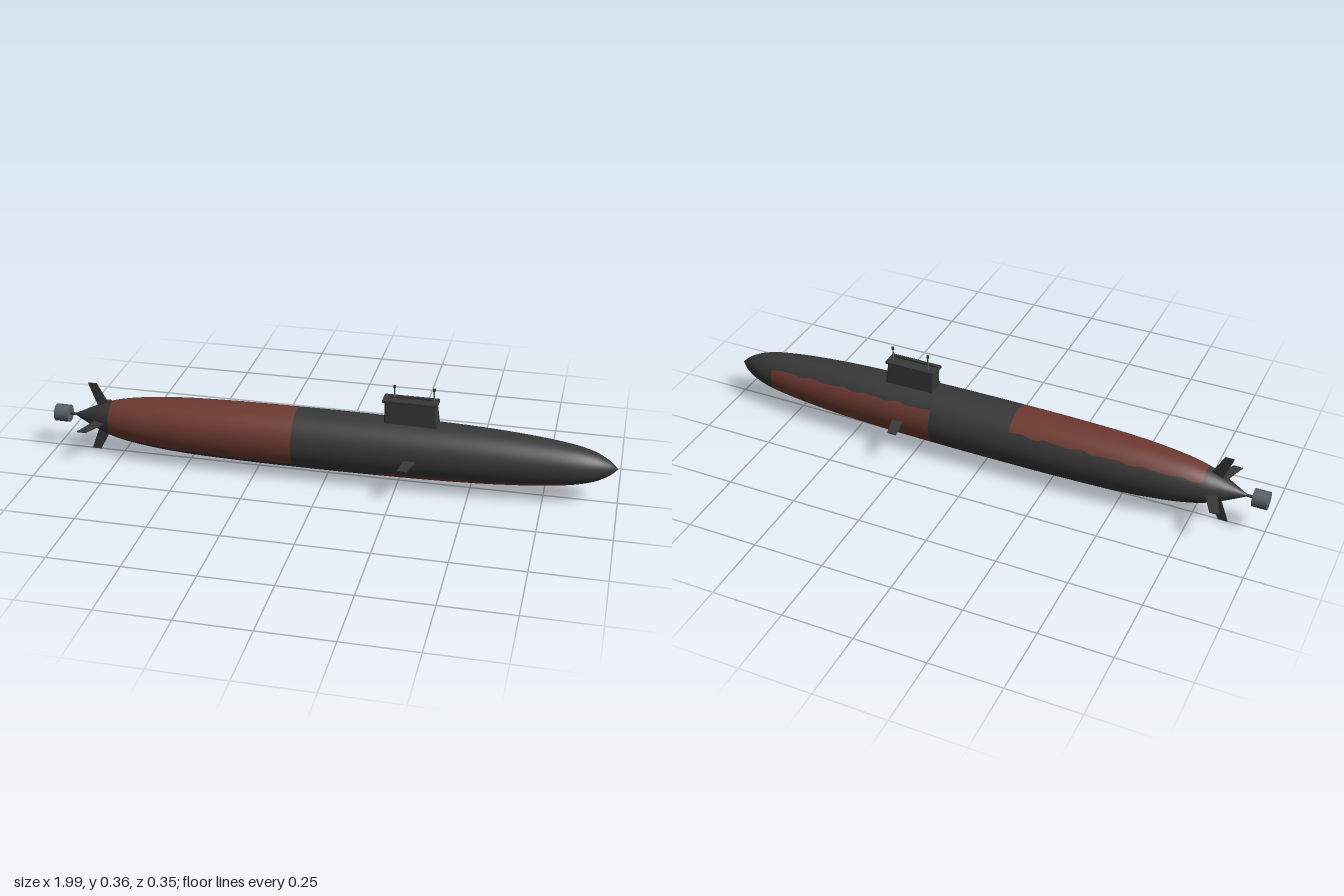
import * as THREE from 'three';
import { ParametricGeometry } from 'three/addons/geometries/ParametricGeometry.js';

const AXIS = 0.129; // height of the hull axis

// hull profile: [x, radius], stern to bow
const PROFILE = [
  [-0.93, 0.002], [-0.88, 0.026], [-0.84, 0.044], [-0.78, 0.065], [-0.69, 0.082], [-0.53, 0.097],
  [-0.3, 0.104], [-0.05, 0.1055], [0.18, 0.1045], [0.43, 0.1], [0.64, 0.09], [0.82, 0.072],
  [0.91, 0.052], [0.965, 0.025], [0.992, 0.001],
];

// smooth radius at any x (Hermite through the profile)
function radiusAt(x) {
  const P = PROFILE, n = P.length - 1;
  let i = 0;
  while (i < n - 1 && x > P[i + 1][0]) i++;
  const slope = (k) => {
    const a = P[Math.max(k - 1, 0)], b = P[Math.min(k + 1, n)];
    return (b[1] - a[1]) / (b[0] - a[0]);
  };
  const h = P[i + 1][0] - P[i][0];
  const t = THREE.MathUtils.clamp((x - P[i][0]) / h, 0, 1), t2 = t * t, t3 = t2 * t;
  return (2 * t3 - 3 * t2 + 1) * P[i][1] + (t3 - 2 * t2 + t) * h * slope(i)
    + (3 * t2 - 2 * t3) * P[i + 1][1] + (t3 - t2) * h * slope(i + 1);
}

// half of a hull section; the split line is slightly ragged
function hullHalf(x0, x1, start) {
  const wave = (x) => 0.03 * Math.sin(x * 55) + 0.02 * Math.sin(x * 91 + 1);
  return new ParametricGeometry((u, v, p) => {
    const x = x0 + (x1 - x0) * u, r = radiusAt(x);
    const a = start + Math.PI * v + wave(x);
    p.set(x, r * Math.sin(a), r * Math.cos(a));
  }, Math.max(12, Math.round((x1 - x0) * 70)), 32);
}

function roundedRect(hx, hz, r, Type = THREE.Shape) {
  const s = new Type();
  s.moveTo(-hx + r, -hz);
  s.lineTo(hx - r, -hz); s.quadraticCurveTo(hx, -hz, hx, -hz + r);
  s.lineTo(hx, hz - r); s.quadraticCurveTo(hx, hz, hx - r, hz);
  s.lineTo(-hx + r, hz); s.quadraticCurveTo(-hx, hz, -hx, hz - r);
  s.lineTo(-hx, -hz + r); s.quadraticCurveTo(-hx, -hz, -hx + r, -hz);
  return s;
}

// flat fin standing along +y, outline given as [x, span]
function finGeometry(points, thickness) {
  const shape = new THREE.Shape(points.map(([x, y]) => new THREE.Vector2(x, y)));
  return new THREE.ExtrudeGeometry(shape, { depth: thickness, bevelEnabled: false })
    .translate(0, 0, -thickness / 2);
}

export function createModel() {
  const model = new THREE.Group();
  model.name = 'submarine';
  const color = (name, hex) => {
    const m = new THREE.MeshStandardMaterial({ color: hex });
    m.name = name;
    return m;
  };
  const dark = color('charcoal', 0x383838);
  const red = color('dull red', 0x6e3a31);
  const grey = color('steel grey', 0x596066);

  const add = (name, geometry, material, x = 0, y = 0, z = 0) => {
    const mesh = new THREE.Mesh(geometry, material);
    mesh.name = name;
    mesh.position.set(x, y, z);
    model.add(mesh);
    return mesh;
  };

  // hull: sections along x, each split into an upper/front and a lower/back half
  const split = THREE.MathUtils.degToRad(-38);
  const sections = [
    ['stern', -0.93, -0.785, dark, dark],
    ['aftHull', -0.785, -0.11, red, dark],
    ['midHull', -0.11, 0.185, dark, dark],
    ['foreHull', 0.185, 0.835, dark, red],
    ['bow', 0.835, 0.992, dark, dark],
  ];
  for (const [name, x0, x1, upper, lower] of sections) {
    add(name + 'Upper', hullHalf(x0, x1, split), upper, 0, AXIS);
    add(name + 'Lower', hullHalf(x0, x1, split + Math.PI), lower, 0, AXIS);
  }

  // cross of four tail fins
  const tail = (span) => finGeometry([[-0.832, 0.02], [-0.785, 0.02], [-0.803, 0.06], [-0.84, span], [-0.872, span]], 0.004);
  for (let i = 0; i < 4; i++) {
    add('tailFin', tail(i % 2 ? 0.134 : AXIS), dark, 0, AXIS).rotation.x = i * Math.PI / 2;
  }

  // forward diving planes
  const plane = finGeometry([[0.285, 0.09], [0.328, 0.09], [0.305, 0.177], [0.272, 0.177]], 0.004);
  for (const side of [1, -1]) {
    add('divingPlane', plane, dark, 0, AXIS).rotation.x = side * Math.PI / 2;
  }

  // sail: rounded block, wider at its foot
  const foot = 0.2, top = 0.305;
  const sail = new THREE.ExtrudeGeometry(roundedRect(0.0875, 0.026, 0.008),
    { depth: top - foot, bevelEnabled: false, curveSegments: 4 }).rotateX(-Math.PI / 2);
  const pos = sail.attributes.position;
  for (let i = 0; i < pos.count; i++) {
    const k = 1 - pos.getY(i) / (top - foot);
    if (pos.getX(i) > 0) pos.setX(i, pos.getX(i) + 0.014 * k);
    pos.setZ(i, pos.getZ(i) * (1 + 0.16 * k));
  }
  sail.computeVertexNormals();
  add('sail', sail, dark, 0.287, foot);

  // raised rim around the sail top
  const rim = roundedRect(0.095, 0.03, 0.006);
  rim.holes.push(roundedRect(0.078, 0.019, 0.004, THREE.Path));
  add('sailRim', new THREE.ExtrudeGeometry(rim, { depth: 0.007, bevelEnabled: false, curveSegments: 4 })
    .rotateX(-Math.PI / 2), dark, 0.287, top);

  // two masts with small heads
  for (const x of [0.23, 0.365]) {
    add('mast', new THREE.CylinderGeometry(0.0025, 0.0025, 0.055, 10), grey, x, 0.327);
    add('mastHead', new THREE.CylinderGeometry(0.0048, 0.0048, 0.009, 10), dark, x, 0.3555);
  }

  // propeller shaft and duct
  add('shaft', new THREE.CylinderGeometry(0.005, 0.005, 0.06, 12), dark, -0.93, AXIS).rotation.z = Math.PI / 2;
  add('propellerDuct', new THREE.CylinderGeometry(0.031, 0.031, 0.052, 24), grey, -0.974, AXIS).rotation.z = Math.PI / 2;

  return model;
}
